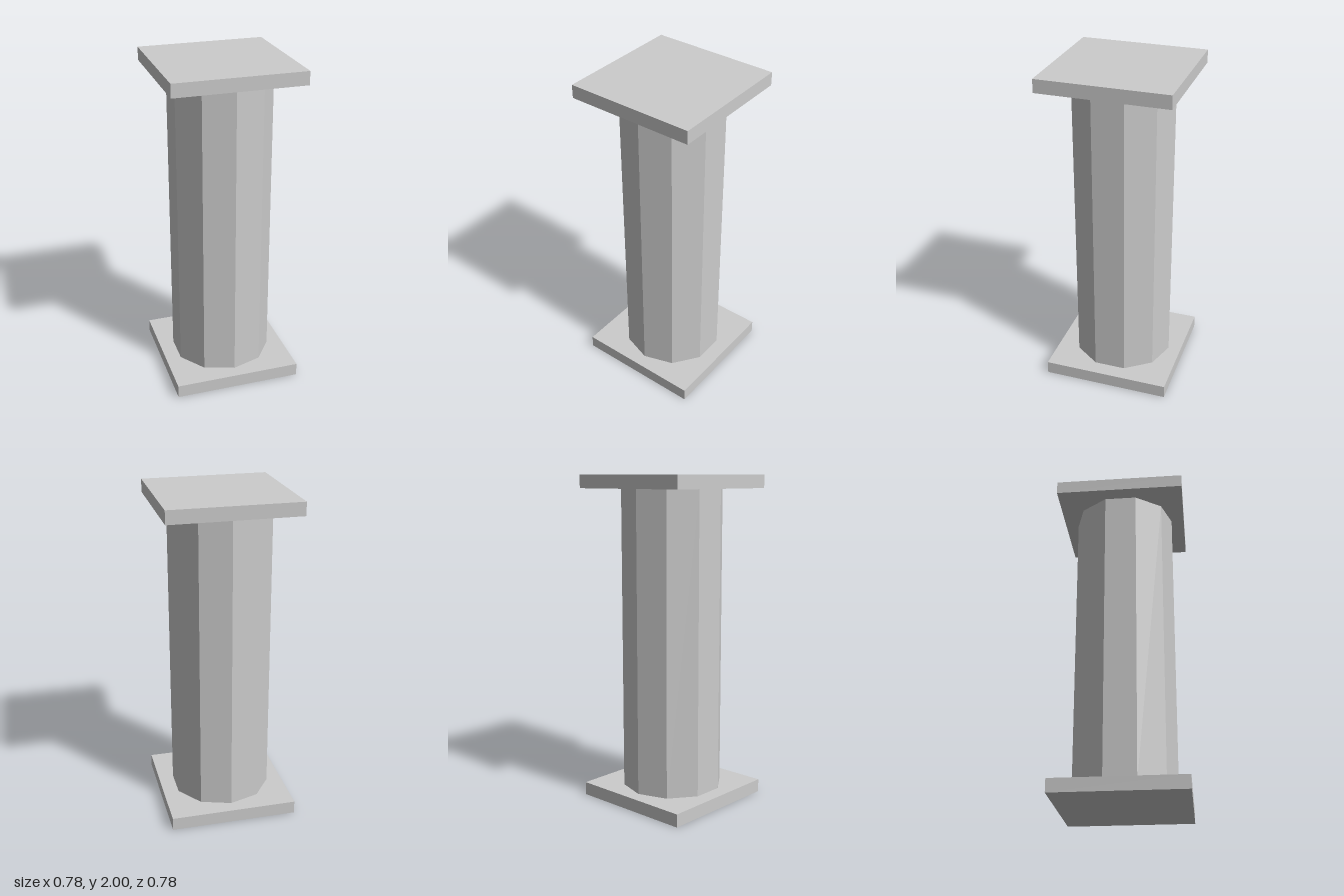
import * as THREE from 'three';

export function createModel() {
  const group = new THREE.Group();
  const material = new THREE.MeshStandardMaterial({ color: 0xcccccc, flatShading: true });
  const height = 2, slab = 0.08, width = 0.78;

  const add = (name, geometry, y) => {
    const mesh = new THREE.Mesh(geometry, material);
    mesh.name = name;
    mesh.position.y = y;
    group.add(mesh);
  };

  // Square slabs at the foot and the head
  add('basePlinth', new THREE.BoxGeometry(width, slab, width), slab / 2);
  add('topSlab', new THREE.BoxGeometry(width, slab, width), height - slab / 2);

  // Ten-sided shaft between them, with corners pointing to the front and back
  add('shaft', new THREE.CylinderGeometry(0.31, 0.31, height - 2 * slab, 10, 1, true), height / 2);

  return group;
}
